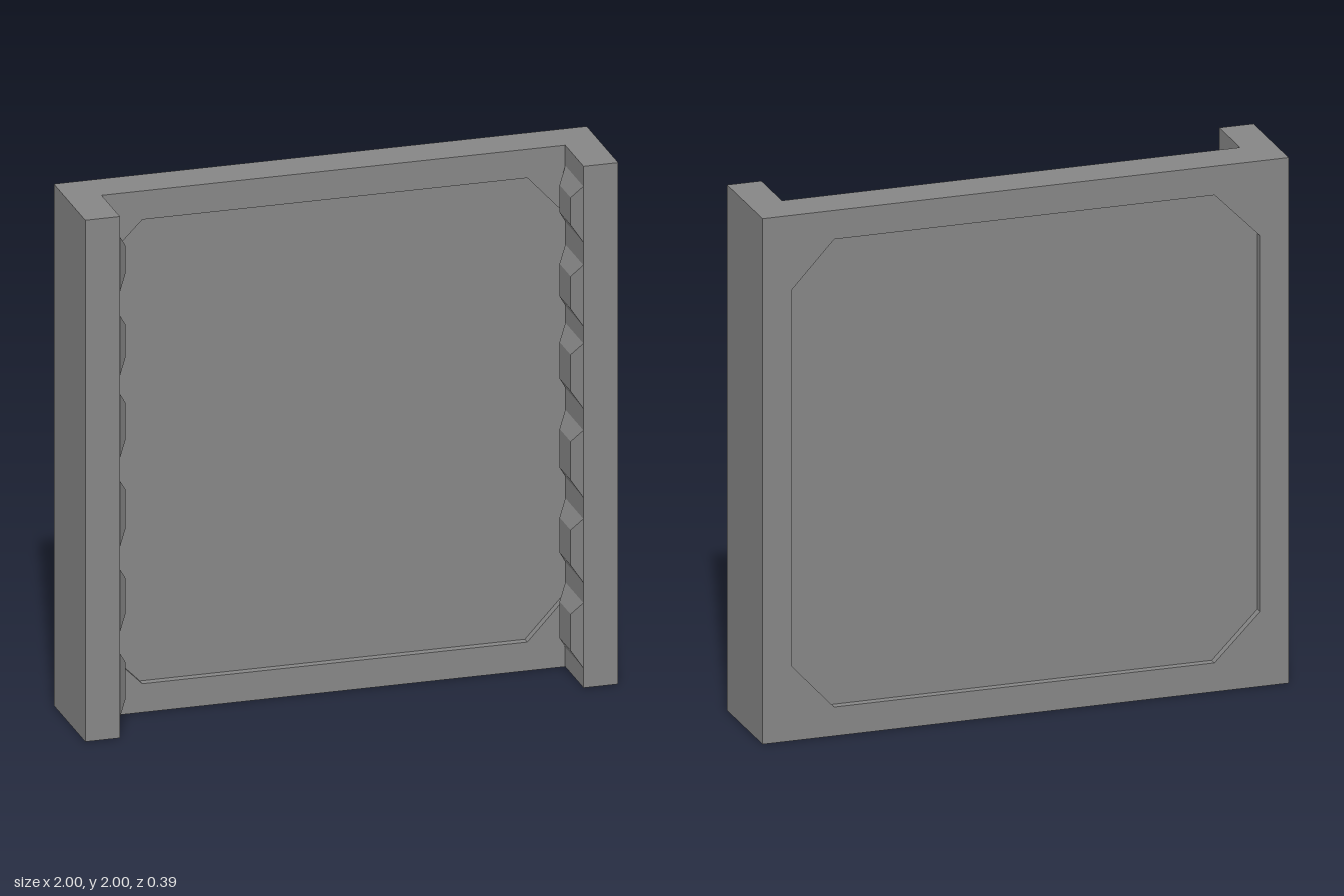
import * as THREE from 'three';

const DEPTH = 0.193;         // half depth of the whole model
const PANEL_FRONT = -0.032;  // front face of the back panel
const RECESS = 0.03;         // depth of the sunken field on each side
const WALL_IN = 0.87;        // inner face of the side walls
const STUD_RISE = 0.035;     // how far the studs stand out

const mat = new THREE.MeshStandardMaterial({ color: 0x868686, flatShading: true });

function add(group, name, geometry, x = 0, y = 0, z = 0) {
  const mesh = new THREE.Mesh(geometry, mat);
  mesh.name = name;
  mesh.position.set(x, y, z);
  group.add(mesh);
  return mesh;
}

const toPoints = (list) => list.map(([x, y]) => new THREE.Vector2(x, y));

// Square with cut corners, the cuts slightly uneven from side to side
function fieldOutline(Path) {
  const r = 0.89, k = 0.715, left = -0.717, right = 0.728;
  return new Path(toPoints([[right, -r], [r, -k], [r, k], [right, r], [left, r], [-r, k], [-r, -k], [left, -r]]));
}

// Block whose +x end tapers to a smaller rectangle
function studGeometry(d, h, w, topH, topW) {
  const g = new THREE.BoxGeometry(d, h, w);
  const p = g.attributes.position;
  for (let i = 0; i < p.count; i++) {
    if (p.getX(i) > 0) {
      p.setY(i, Math.sign(p.getY(i)) * topH / 2);
      p.setZ(i, Math.sign(p.getZ(i)) * topW / 2);
    }
  }
  g.computeVertexNormals();
  return g;
}

export function createModel() {
  const model = new THREE.Group();
  model.name = 'panelWithSideWalls';
  const thick = PANEL_FRONT + DEPTH;

  // Square frame around the sunken field
  const outline = new THREE.Shape(toPoints([[-1, -1], [1, -1], [1, 1], [-1, 1]]));
  outline.holes.push(fieldOutline(THREE.Path));
  add(model, 'panelFrame', new THREE.ExtrudeGeometry(outline, { depth: thick, bevelEnabled: false }), 0, 1, -DEPTH);

  // Sunken field, set back from both faces of the frame
  add(model, 'panelField', new THREE.ExtrudeGeometry(fieldOutline(THREE.Shape),
    { depth: thick - 2 * RECESS, bevelEnabled: false }), 0, 1, -DEPTH + RECESS);

  // Side walls with a column of tapered studs on their inner faces
  const wallDepth = DEPTH - PANEL_FRONT, wallZ = (DEPTH + PANEL_FRONT) / 2;
  const wall = new THREE.BoxGeometry(1 - WALL_IN, 2, wallDepth);
  const studs = [[0.2, 0.25], [0.525, 0.245], [0.858, 0.258], [1.195, 0.25], [1.503, 0.235], [1.815, 0.215]]
    .map(([y, h]) => [y, studGeometry(STUD_RISE, h, wallDepth - 0.004, h - 0.11, 0.135)]);
  for (const [side, s] of [['right', -1], ['left', 1]]) {
    add(model, side + 'Wall', wall, s * (1 + WALL_IN) / 2, 1, wallZ);
    for (const [y, stud] of studs) {
      const m = add(model, side + 'Stud', stud, s * (WALL_IN - STUD_RISE / 2), y, wallZ);
      if (s > 0) m.rotation.z = Math.PI;
    }
  }
  return model;
}
